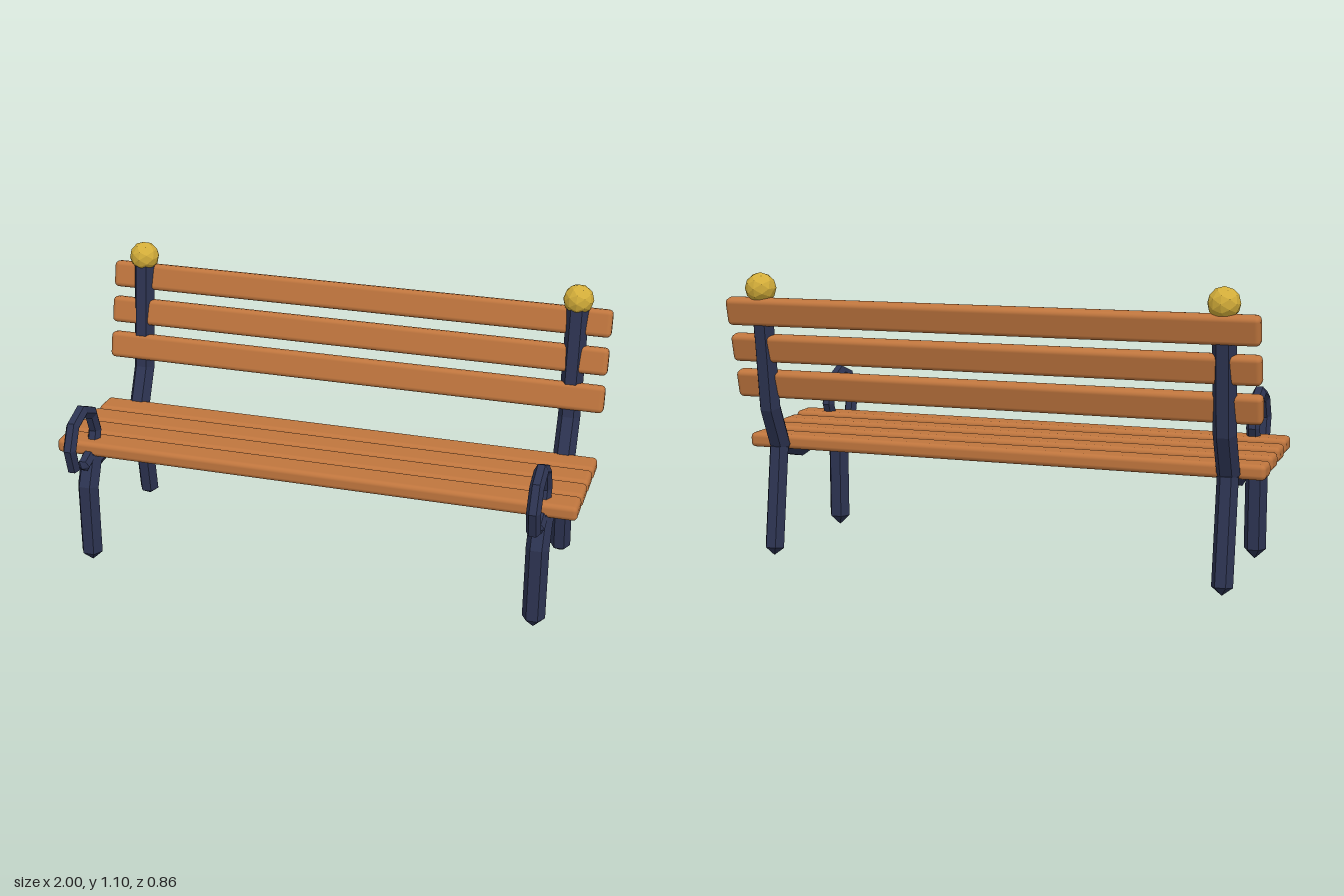
import * as THREE from 'three';
import { RoundedBoxGeometry } from 'three/addons/geometries/RoundedBoxGeometry.js';

// Six-sided bar swept along a [z, y] path with mitred bends and pointed ends
function barGeometry(path, radius, startTip, endTip) {
  const pts = path.map(([z, y]) => new THREE.Vector2(z, y));
  const extend = (p, from, d) => p.clone().add(p.clone().sub(from).setLength(d));
  const n = pts.length;
  const all = [extend(pts[0], pts[1], startTip), ...pts, extend(pts[n - 1], pts[n - 2], endTip)];
  const pos = [], index = [], sides = 6;
  all.forEach((p, i) => {
    const prev = all[Math.max(i - 1, 0)], next = all[Math.min(i + 1, all.length - 1)];
    const din = (i ? p.clone().sub(prev) : next.clone().sub(p)).normalize();
    const dout = (i < all.length - 1 ? next.clone().sub(p) : din.clone()).normalize();
    const t = din.clone().add(dout).normalize();
    const miter = 1 / Math.max(0.6, t.dot(din));
    const r = i === 0 || i === all.length - 1 ? 0 : radius;
    for (let k = 0; k < sides; k++) {
      const a = (k / sides) * Math.PI * 2;
      const s = r * Math.sin(a) * miter;
      pos.push(r * Math.cos(a), p.y + t.x * s, p.x - t.y * s);
      if (i < all.length - 1) {
        const k2 = (k + 1) % sides, b = i * sides;
        if (i > 0) index.push(b + k, b + k2, b + sides + k2);
        if (i < all.length - 2) index.push(b + k, b + sides + k2, b + sides + k);
        else index.push(b + k, b + k2, b + sides + k);
      }
    }
  });
  const g = new THREE.BufferGeometry();
  g.setAttribute('position', new THREE.Float32BufferAttribute(pos, 3));
  g.setIndex(index);
  const flat = g.toNonIndexed();
  flat.computeVertexNormals();
  return flat;
}

export function createModel() {
  const wood = new THREE.MeshStandardMaterial({ color: 0xc0763e });
  wood.name = 'wood';
  const iron = new THREE.MeshStandardMaterial({ color: 0x2d3452 });
  iron.name = 'navyIron';
  const gold = new THREE.MeshStandardMaterial({ color: 0xd4ae3a });
  gold.name = 'gold';
  iron.flatShading = gold.flatShading = true;

  const bench = new THREE.Group();
  bench.name = 'bench';
  const add = (parent, name, geometry, material, x = 0, y = 0, z = 0) => {
    const m = new THREE.Mesh(geometry, material);
    m.name = name;
    m.position.set(x, y, z);
    parent.add(m);
    return m;
  };

  // Front leg, seat rail and back post in one bent bar
  const frameBar = barGeometry([
    [0.27, 0.04], [0.27, 0.32], [0.228, 0.413], [0.09, 0.422],
    [-0.1, 0.396], [-0.25, 0.432], [-0.322, 0.583], [-0.37, 1.01],
  ], 0.0425, 0.04, 0.03);
  const backLeg = barGeometry([[-0.257, 0.42], [-0.313, 0.038]], 0.039, 0.02, 0.03);
  // Curled arm
  const armCurl = barGeometry([
    [0.383, 0.442], [0.407, 0.53], [0.368, 0.61], [0.29, 0.637],
    [0.209, 0.6], [0.179, 0.52], [0.207, 0.45], [0.24, 0.437], [0.302, 0.417],
  ], 0.026, 0.014, 0.016);
  const ball = new THREE.IcosahedronGeometry(0.058, 1);

  for (const [side, x] of [['left', 0.87], ['right', -0.87]]) {
    const frame = new THREE.Group();
    frame.name = side + 'Frame';
    frame.position.x = x;
    add(frame, 'frontLegRailAndPost', frameBar, iron);
    add(frame, 'backLeg', backLeg, iron);
    add(frame, 'armCurl', armCurl, iron);
    add(frame, 'postBall', ball, gold, 0, 1.037, -0.374);
    bench.add(frame);
  }

  // Seat slats
  const seatSlat = new RoundedBoxGeometry(2, 0.056, 0.108, 2, 0.018);
  [[0.199, 0.462], [0.069, 0.453], [-0.061, 0.445], [-0.193, 0.437]].forEach(([z, y], i) =>
    add(bench, 'seatSlat' + (i + 1), seatSlat, wood, 0, y, z));

  // Leaning back slats
  const backSlat = new RoundedBoxGeometry(2, 0.104, 0.055, 2, 0.018);
  [[-0.313, 0.672], [-0.348, 0.811], [-0.384, 0.95]].forEach(([z, y], i) => {
    add(bench, 'backSlat' + (i + 1), backSlat, wood, 0, y, z).rotation.x = -0.22;
  });

  return bench;
}
